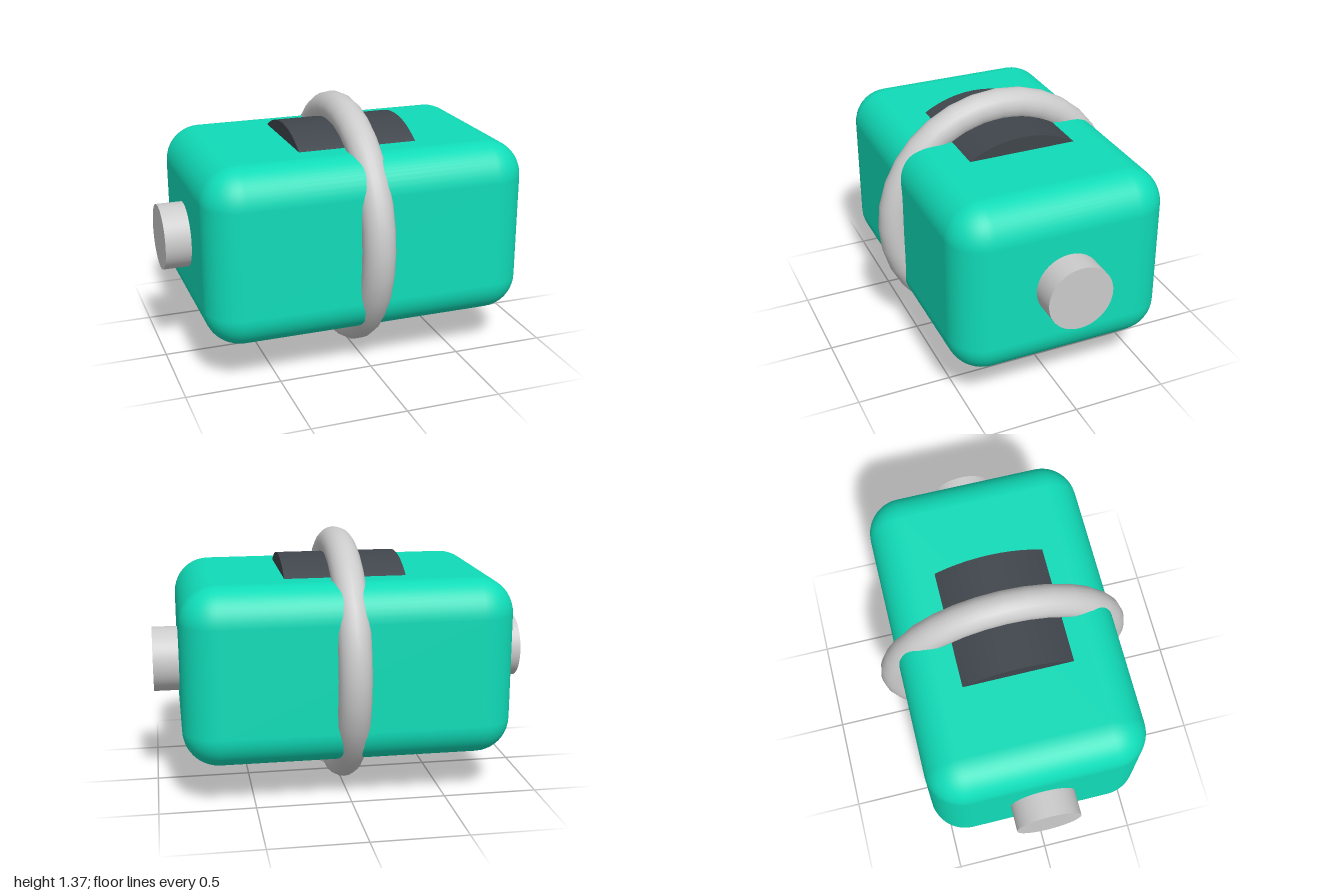
import * as THREE from 'three';
import { RoundedBoxGeometry } from 'three/addons/geometries/RoundedBoxGeometry.js';

const CENTRE_Y = 0.69;

export function createModel() {
  const model = new THREE.Group();
  model.name = 'model';
  const grey = new THREE.MeshStandardMaterial({ color: 0xcccccc });
  const dark = new THREE.MeshStandardMaterial({ color: 0x40464c });
  const green = new THREE.MeshStandardMaterial({ color: 0x10dcb8 });

  const add = (name, geometry, material, y = CENTRE_Y) => {
    const mesh = new THREE.Mesh(geometry, material);
    mesh.name = name;
    mesh.position.y = y;
    model.add(mesh);
    return mesh;
  };
  // Cylinder lying along x
  const barrel = (radius, length) =>
    new THREE.CylinderGeometry(radius, radius, length, 64).rotateZ(Math.PI / 2);

  // Soft-edged housing
  add('body', new RoundedBoxGeometry(1.73, 0.944, 1.15, 6, 0.19), green);

  // Drum showing through the top and bottom of the housing
  add('drum', barrel(0.554, 0.636), dark);

  // Axle with a stub at each end
  add('axle', barrel(0.173, 2), grey);

  // Ring wrapped around the middle, with a short upright plug at its lowest point
  add('ring', new THREE.TorusGeometry(0.6, 0.086, 20, 32).rotateY(Math.PI / 2), grey);
  add('plug', new THREE.CylinderGeometry(0.095, 0.095, 0.12, 32), grey, 0.12);

  return model;
}
